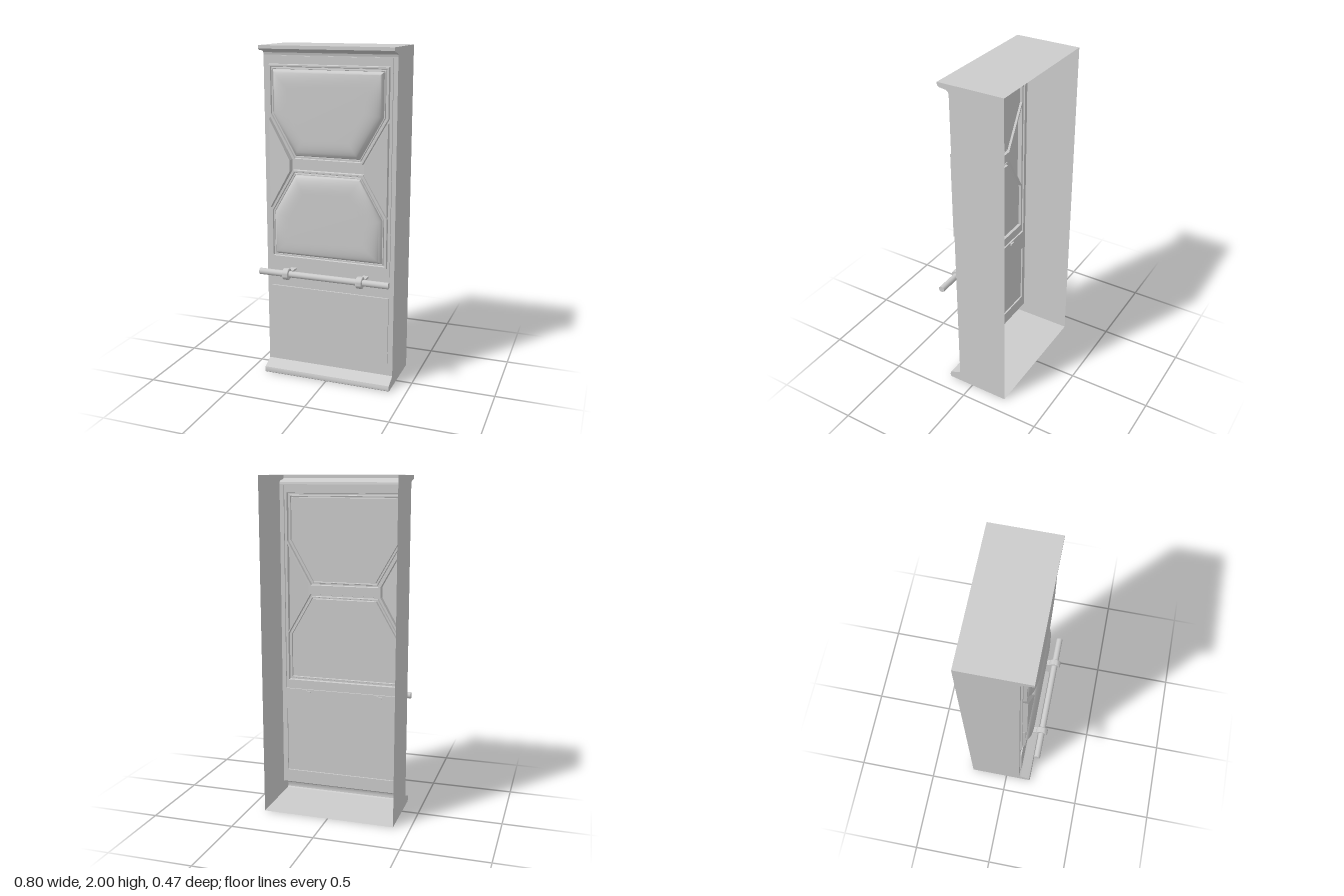
import * as THREE from 'three';
import { toCreasedNormals } from 'three/addons/utils/BufferGeometryUtils.js';

const material = new THREE.MeshStandardMaterial({ color: 0xcccccc, side: THREE.DoubleSide });

function add(parent, name, geometry) {
  const mesh = new THREE.Mesh(geometry, material);
  mesh.name = name;
  parent.add(mesh);
  return mesh;
}

// Skin between rows of [x, y, z] points; rows may be closed loops, the last one filled.
function loft(rows, { closed = true, cap = false, crease = 0.3 } = {}) {
  const n = rows[0].length, index = [];
  for (let r = 0; r < rows.length - 1; r++) {
    for (let i = 0; i < (closed ? n : n - 1); i++) {
      const a = r * n + i, b = r * n + (i + 1) % n;
      index.push(a, b, b + n, a, b + n, a + n);
    }
  }
  const last = (rows.length - 1) * n;
  if (cap) for (let i = 1; i < n - 1; i++) index.push(last, last + i, last + i + 1);
  const g = new THREE.BufferGeometry();
  g.setAttribute('position', new THREE.Float32BufferAttribute(rows.flat(2), 3));
  g.setIndex(index);
  return toCreasedNormals(g, crease);
}

// Moves every edge of a convex counter-clockwise outline inwards by d.
function inset(poly, d) {
  const n = poly.length;
  return poly.map((p, i) => {
    const q = poly[(i + n - 1) % n], s = poly[(i + 1) % n];
    const u = new THREE.Vector2(p[0] - q[0], p[1] - q[1]).normalize();
    const v = new THREE.Vector2(s[0] - p[0], s[1] - p[1]).normalize();
    const k = d / (1 + u.dot(v));
    return [p[0] - (u.y + v.y) * k, p[1] + (u.x + v.x) * k];
  });
}

const ring = (poly, d, z) => inset(poly, d).map(([x, y]) => [x, y, z]);
const rect = (w, y0, y1) => [[-w, y0], [w, y0], [w, y1], [-w, y1]];
const mirror = (poly) => poly.map(([x, y]) => [-x, y]).reverse();

// Flat sheet with cut-outs
function sheet(outline, holes, z) {
  const toPoints = (poly) => poly.map(([x, y]) => new THREE.Vector2(x, y));
  const shape = new THREE.Shape(toPoints(outline));
  shape.holes = holes.map((h) => new THREE.Path(toPoints(h)));
  return new THREE.ShapeGeometry(shape).translate(0, 0, z);
}

export function createModel() {
  const model = new THREE.Group();

  // Cabinet shell, open at the back; profiles are [z, y]
  const foot = [[-0.235, 0], [0.155, 0], [0.163, 0.006], [0.165, 0.02], [0.16, 0.036], [0.145, 0.044], [0.105, 0.06], [0.09, 0.07]];
  const head = [[0.09, 1.945], [0.093, 1.958], [0.105, 1.968], [0.15, 1.974], [0.16, 1.981], [0.16, 2], [-0.235, 2]];
  const cabinet = new THREE.Group();
  cabinet.name = 'cabinet';
  model.add(cabinet);
  for (const [name, path] of [['kickLedge', foot], ['topLedge', head]]) {
    const rows = [-0.4, 0.4].map((x) => path.map(([z, y]) => [x, y, z]).reverse());
    add(cabinet, name, loft(rows, { closed: false, crease: 0.6 }));
  }
  const wall = sheet([...foot, ...head], [], 0).rotateY(-Math.PI / 2).translate(-0.4, 0, 0);
  add(cabinet, 'rightWall', wall);
  add(cabinet, 'leftWall', wall).scale.x = -1;

  // Front face with openings for the upper plate and lower panel
  const upperPlate = rect(0.375, 0.69, 1.94);
  const lowerPanel = rect(0.37, 0.15, 0.56);
  add(cabinet, 'frontFace', sheet(rect(0.4, 0.07, 1.945), [upperPlate, lowerPanel], 0.09));
  add(model, 'lowerPanel', loft([ring(lowerPanel, 0, 0.09), ring(lowerPanel, 0, 0.1)], { cap: true }));

  // Upper plate carrying two padded panels and two side wedges
  const upperPad = [[-0.21, 1.345], [0.21, 1.345], [0.36, 1.61], [0.36, 1.895], [-0.36, 1.895], [-0.36, 1.61]];
  const lowerPad = [[-0.36, 0.745], [0.36, 0.745], [0.36, 1.04], [0.215, 1.29], [-0.215, 1.29], [-0.36, 1.04]];
  const wedge = [[0.225, 1.285], [0.36, 1.05], [0.36, 1.59], [0.225, 1.35]];
  const wedges = [wedge, mirror(wedge)];
  add(model, 'upperPlate', sheet(upperPlate, [upperPad, lowerPad, ...wedges], 0.1));
  add(model, 'upperPlateEdge', loft([ring(upperPlate, 0, 0.09), ring(upperPlate, 0, 0.1)]));

  for (const [name, pad] of [['upper', upperPad], ['lower', lowerPad]]) {
    // Hollow stepped moulding
    const steps = [[0, 0.1], [0.003, 0.118], [0.012, 0.118], [0.015, 0.108], [0.02, 0.108], [0.022, 0.118], [0.027, 0.118], [0.029, 0.1]];
    add(model, name + 'Moulding', loft(steps.map(([d, z]) => ring(pad, d, z))));
    // Domed cushion with a flat back
    const rows = [];
    for (let i = 0; i <= 10; i++) {
      const t = i / 10;
      rows.push(ring(pad, 0.029 + 0.1 * t * t, 0.112 + 0.043 * Math.sin(t * Math.PI / 2)));
    }
    add(model, name + 'Cushion', loft([ring(pad, 0.029, 0.1), ...rows], { cap: true, crease: 0.85 }));
    add(model, name + 'CushionBack', sheet(inset(pad, 0.029), [], 0.1));
  }

  // Side wedges rise towards the middle
  wedges.forEach((poly, i) => {
    const rise = (d) => inset(poly, d).map(([x, y]) => [x, y, 0.126 + (0.36 - Math.abs(x)) * 0.09]);
    add(model, i ? 'rightWedge' : 'leftWedge', loft([ring(poly, 0, 0.1), rise(0.002)], { cap: true }));
  });

  // Hand rail on two collars with flat brackets
  const railY = 0.677, railZ = 0.2;
  const rail = new THREE.Group();
  rail.name = 'handRail';
  model.add(rail);
  add(rail, 'railBar', new THREE.CylinderGeometry(0.019, 0.019, 0.8, 24).rotateZ(Math.PI / 2)).position.set(0, railY, railZ);
  const r = 0.035, h = 0.018;
  const section = [[0.019, -h], [r - 0.003, -h], [r, -h + 0.003], [r, h - 0.003], [r - 0.003, h], [0.019, h]]
    .map(([x, y]) => new THREE.Vector2(x, y));
  const collar = toCreasedNormals(new THREE.LatheGeometry(section, 28), 0.5).rotateZ(Math.PI / 2);
  for (const x of [-0.228, 0.228]) {
    add(rail, 'collar', collar).position.set(x, railY, railZ);
    add(rail, 'bracket', new THREE.BoxGeometry(0.034, 0.012, 0.09)).position.set(x, railY, 0.125);
  }

  return model;
}
